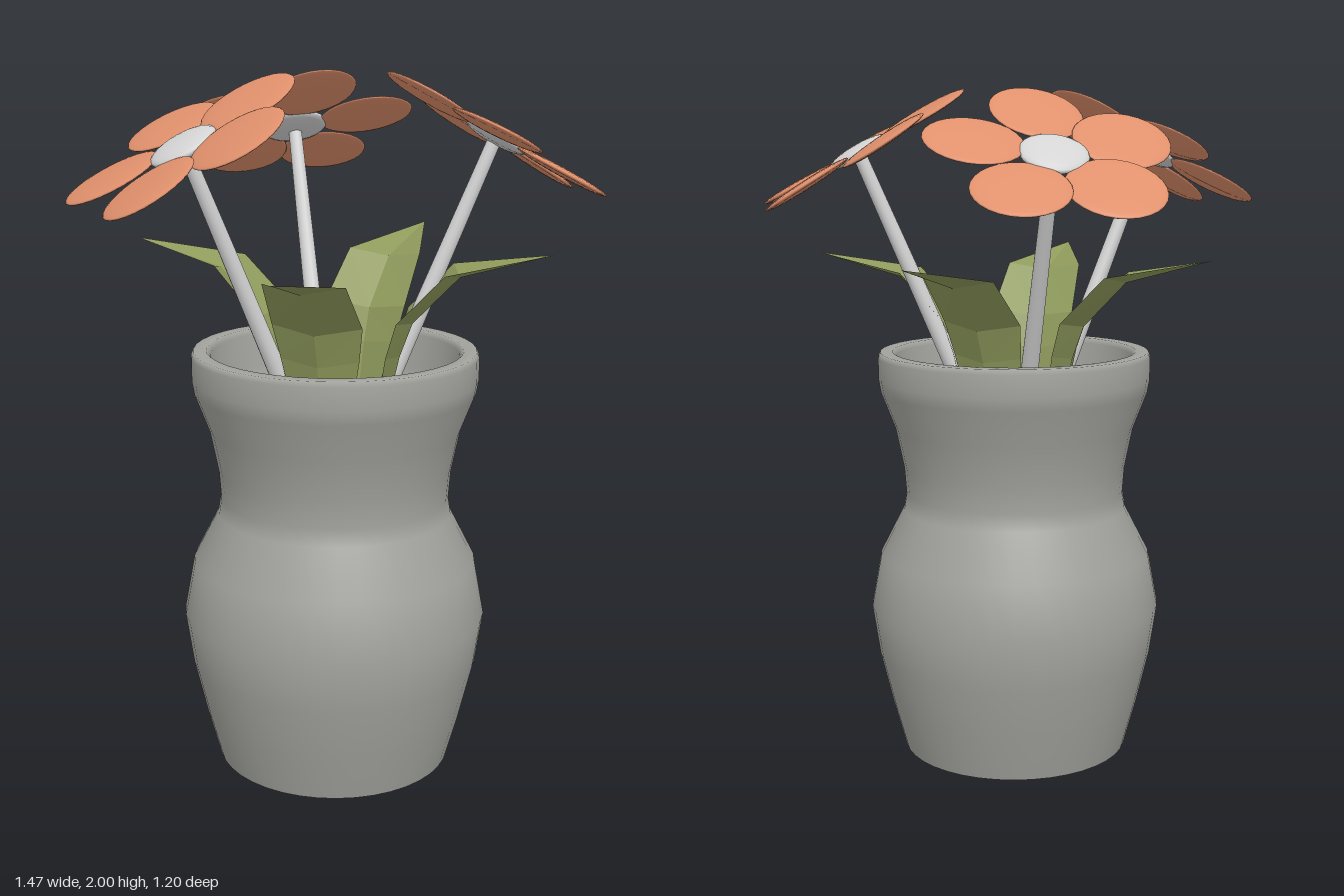
import * as THREE from 'three';

const mat = (name, color, extra = {}) => {
  const m = new THREE.MeshStandardMaterial({ color, ...extra });
  m.name = name;
  return m;
};
const clay = mat('clay grey', 0xa3a39e);
const petalMat = mat('petal orange', 0xe0906c);
const paleMat = mat('pale grey', 0xd4d4d4);
const leafMat = mat('leaf green', 0x8f9a5c, { flatShading: true, side: THREE.DoubleSide });

function add(parent, name, geometry, material) {
  const mesh = new THREE.Mesh(geometry, material);
  mesh.name = name;
  parent.add(mesh);
  return mesh;
}

// Vase: turned outer wall, rounded rim and shallow inside
function makeVase() {
  const vase = new THREE.Group();
  vase.name = 'vase';
  const profile = [
    [0.342, 0], [0.38, 0.14], [0.418, 0.3], [0.44, 0.45], [0.41, 0.61], [0.338, 0.75],
    [0.33, 0.8], [0.336, 0.88], [0.36, 1.0], [0.402, 1.11], [0.409, 1.15], [0.409, 1.215],
    [0.402, 1.23], [0.365, 1.23], [0.354, 1.215], [0.345, 1.12], [0.325, 1.05],
    [0.29, 1.02], [0.15, 1.01], [0, 1.01],
  ].map(([r, y]) => new THREE.Vector2(r, y));
  add(vase, 'vaseBody', new THREE.LatheGeometry(profile, 40), clay);
  add(vase, 'vaseBase', new THREE.CircleGeometry(0.342, 40).rotateX(Math.PI / 2), clay);
  return vase;
}

// Flower: leaning tapered stem, tilted head with five flat petals and a round centre
function makeFlower() {
  const flower = new THREE.Group();
  flower.name = 'flower';
  const bottom = new THREE.Vector3(0.105, 1.0, 0);
  const top = new THREE.Vector3(0.45, 1.805, 0);
  const along = top.clone().sub(bottom);
  const stem = add(flower, 'stem', new THREE.CylinderGeometry(0.02, 0.028, along.length(), 12), paleMat);
  stem.position.copy(bottom).addScaledVector(along, 0.5);
  stem.quaternion.setFromUnitVectors(new THREE.Vector3(0, 1, 0), along.clone().normalize());

  const head = new THREE.Group();
  head.name = 'flowerHead';
  head.position.set(0.455, 1.817, 0);
  head.rotation.z = -Math.PI / 6;
  flower.add(head);
  const petalGeo = new THREE.SphereGeometry(1, 28, 14).scale(0.14, 0.013, 0.134);
  petalGeo.rotateX(0.06).translate(0.217, 0, 0);
  for (let i = 0; i < 5; i++) {
    add(head, 'petal', petalGeo, petalMat).rotation.y = Math.PI + (i * 2 * Math.PI) / 5;
  }
  add(head, 'flowerCentre', new THREE.SphereGeometry(1, 24, 12).scale(0.097, 0.022, 0.097), paleMat);
  return flower;
}

// Leaf: creased strip that rises, then bends outward to a point
function leafGeometry() {
  // distance out, height, half width, crease depth
  const rows = [
    [0.12, 1.0, 0.07, 0.015], [0.16, 1.23, 0.112, 0.025], [0.19, 1.33, 0.128, 0.03],
    [0.32, 1.465, 0.115, 0.03], [0.61, 1.515, 0.001, 0],
  ];
  const pos = [];
  const index = [];
  rows.forEach(([u, y, w, c], r) => {
    pos.push(u, y, -w, u + c, y - c * 0.7, 0, u, y, w);
    if (r === 0) return;
    for (let k = 0; k < 2; k++) {
      const a = (r - 1) * 3 + k;
      const b = a + 3;
      index.push(a, a + 1, b, a + 1, b + 1, b);
    }
  });
  const g = new THREE.BufferGeometry();
  g.setAttribute('position', new THREE.Float32BufferAttribute(pos, 3));
  g.setIndex(index);
  g.computeVertexNormals();
  return g;
}

export function createModel() {
  const model = new THREE.Group();
  model.name = 'flowerVase';
  const bunch = new THREE.Group();
  bunch.name = 'bunch';
  bunch.position.z = 0.14;
  model.add(bunch);
  bunch.add(makeVase());

  // Three flowers fanned around the vase
  for (const degrees of [180, -77, 18]) {
    const flower = makeFlower();
    flower.rotation.y = -THREE.MathUtils.degToRad(degrees);
    bunch.add(flower);
  }

  // Four leaves between them
  const leafGeo = leafGeometry();
  for (const degrees of [-132, -34, 134, 39]) {
    add(bunch, 'leaf', leafGeo, leafMat).rotation.y = -THREE.MathUtils.degToRad(degrees);
  }
  return model;
}
